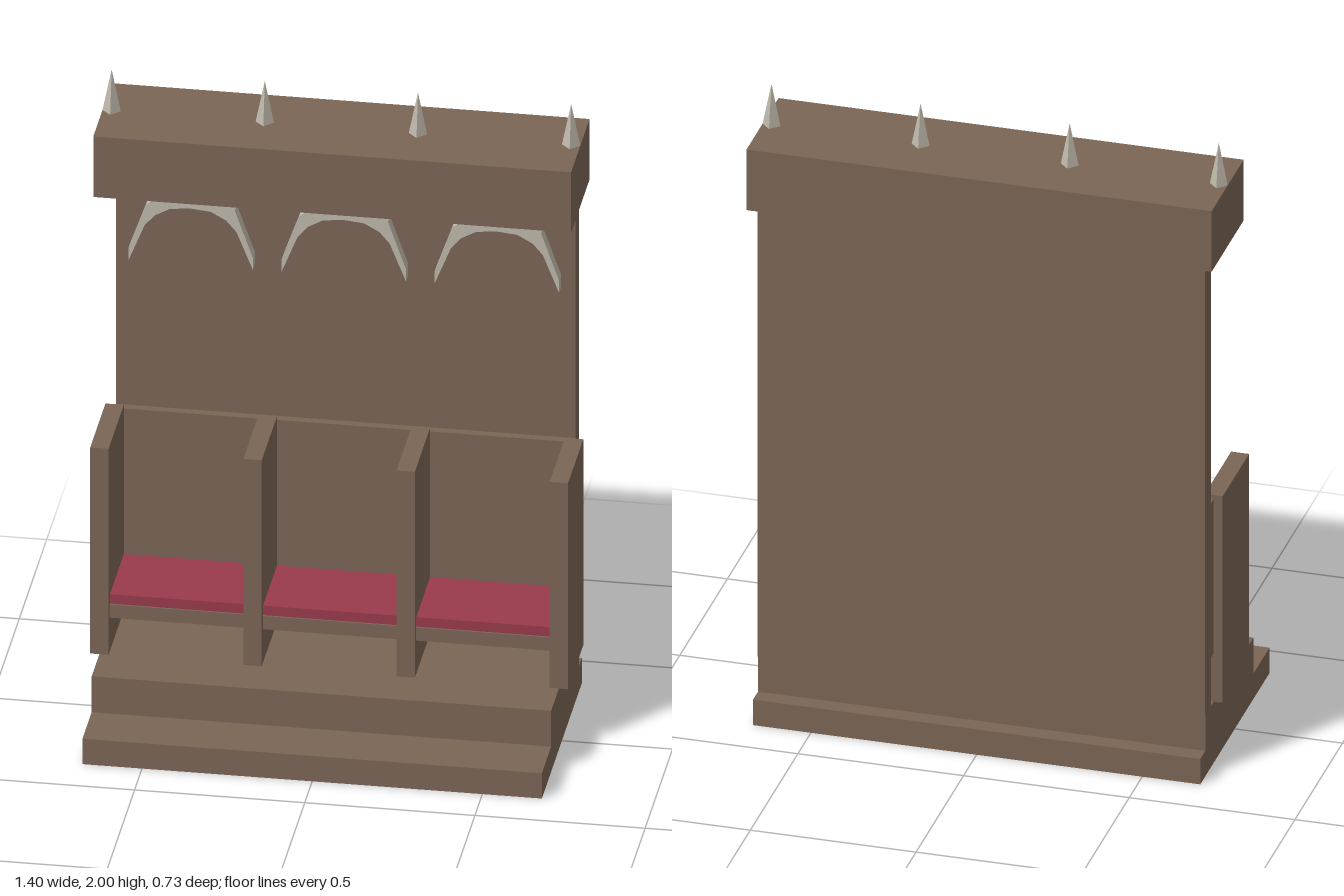
import * as THREE from 'three';

export function createModel() {
  const group = new THREE.Group();
  const material = (name, color) => {
    const m = new THREE.MeshStandardMaterial({ color });
    m.name = name;
    return m;
  };
  const wood = material('brown wood', 0x7a6555);
  const fabric = material('crimson fabric', 0x9a3b4c);
  const stone = material('pale stone', 0xbfb9ab);
  stone.flatShading = true;

  const add = (name, geometry, mat) => {
    const mesh = new THREE.Mesh(geometry, mat);
    mesh.name = name;
    group.add(mesh);
    return mesh;
  };
  // Box given by its lower and upper limits on each axis
  const box = (name, mat, [x0, x1], [y0, y1], [z0, z1]) =>
    add(name, new THREE.BoxGeometry(x1 - x0, y1 - y0, z1 - z0), mat)
      .position.set((x0 + x1) / 2, (y0 + y1) / 2, (z0 + z1) / 2);

  // Stepped base, tall back and canopy
  box('lowerStep', wood, [-0.675, 0.675], [0, 0.083], [-0.363, 0.365]);
  box('upperStep', wood, [-0.675, 0.675], [0.083, 0.2], [-0.31, 0.197]);
  box('backBoard', wood, [-0.675, 0.675], [0.2, 1.667], [-0.315, -0.248]);
  box('canopy', wood, [-0.702, 0.702], [1.667, 1.865], [-0.337, 0]);

  // Arch: a faceted band that tapers down to its tips
  const rightSide = [[0.06, 1.59], [0.13, 1.545], [0.183, 1.395],
    [0.183, 1.355], [0.135, 1.475], [0.105, 1.51], [0.06, 1.535]];
  const leftSide = rightSide.map(([x, y]) => [-x, y]).reverse();
  const outline = [...rightSide, [0, 1.541], ...leftSide];
  const archShape = new THREE.Shape(outline.map(([x, y]) => new THREE.Vector2(x, y)));
  const archGeometry = new THREE.ExtrudeGeometry(archShape, { depth: 0.038, bevelEnabled: false });

  // Three stalls, each with back panel, seat, cushion and arch
  for (const x of [-0.45, 0, 0.45]) {
    box('backPanel', wood, [x - 0.225, x + 0.225], [0.358, 0.863], [-0.248, -0.222]);
    box('seat', wood, [x - 0.2, x + 0.2], [0.312, 0.355], [-0.222, 0.037]);
    box('cushion', fabric, [x - 0.2, x + 0.2], [0.355, 0.386], [-0.222, 0.031]);
    add('arch', archGeometry, stone).position.set(x, 0, -0.248);
  }

  // Dividers between stalls, with a spike above each on the canopy
  const spikeGeometry = new THREE.ConeGeometry(0.027, 0.135, 4);
  for (const x of [-0.675, -0.225, 0.225, 0.675]) {
    box('divider', wood, [x - 0.027, x + 0.027], [0.2, 0.875], [-0.222, 0.056]);
    add('spike', spikeGeometry, stone).position.set(x, 1.9325, -0.168);
  }
  return group;
}
